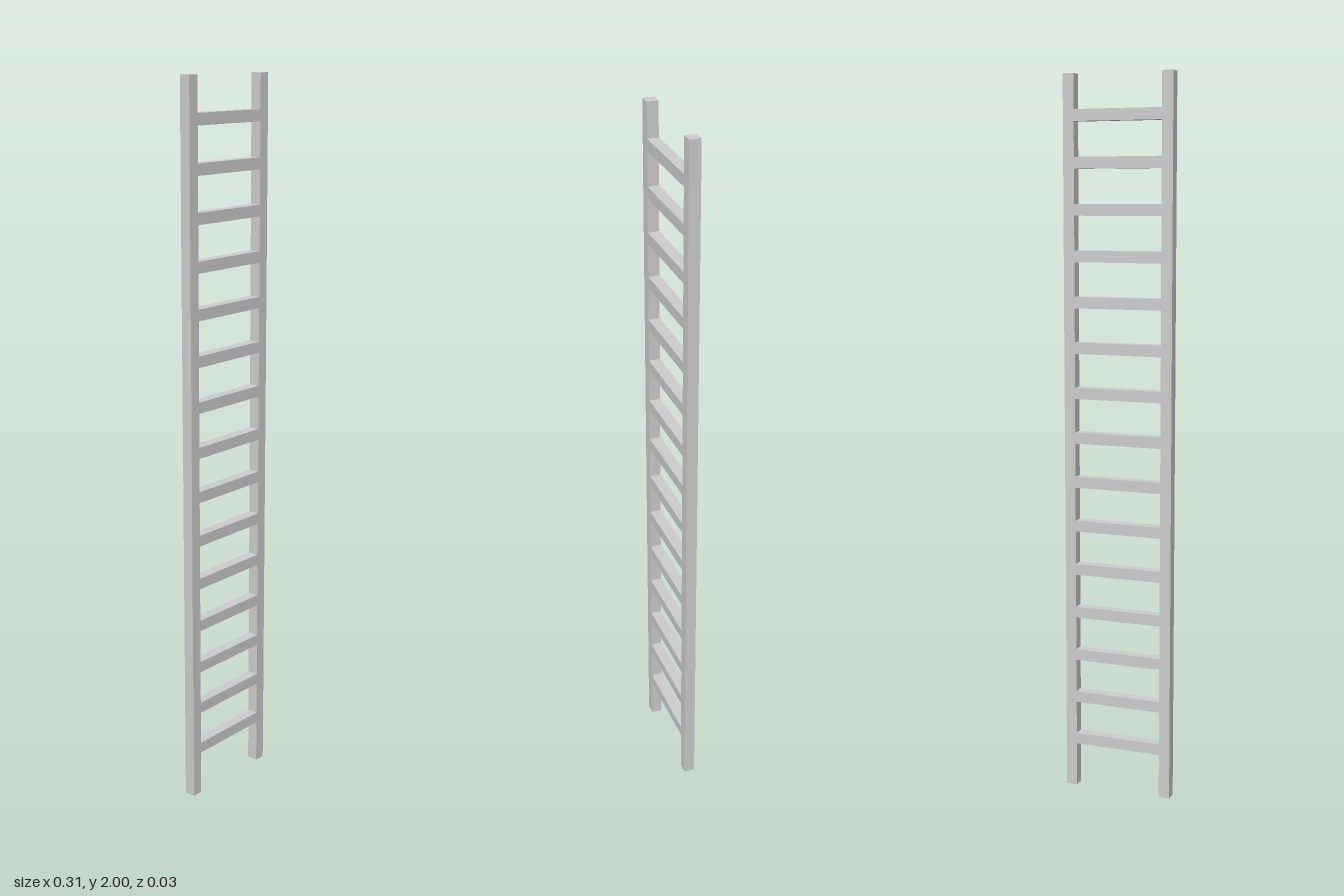
import * as THREE from 'three';

const T = 1 / 32; // square bar thickness
const HEIGHT = 2;
const INNER = 0.25; // gap between rails
const STEP = 0.125; // rung spacing

export function createModel() {
  const ladder = new THREE.Group();
  ladder.name = 'ladder';
  const material = new THREE.MeshStandardMaterial({ color: 0xcccccc, flatShading: true });

  const addBar = (name, width, height, x, y) => {
    const bar = new THREE.Mesh(new THREE.BoxGeometry(width, height, T), material);
    bar.name = name;
    bar.position.set(x, y, 0);
    ladder.add(bar);
  };

  // Side rails
  const railX = (INNER + T) / 2;
  addBar('leftRail', T, HEIGHT, railX, HEIGHT / 2);
  addBar('rightRail', T, HEIGHT, -railX, HEIGHT / 2);

  // Evenly spaced rungs, flush with the rails
  for (let i = 1; i <= 15; i++) addBar(`rung${i}`, INNER, T, 0, i * STEP + T / 2);

  return ladder;
}
